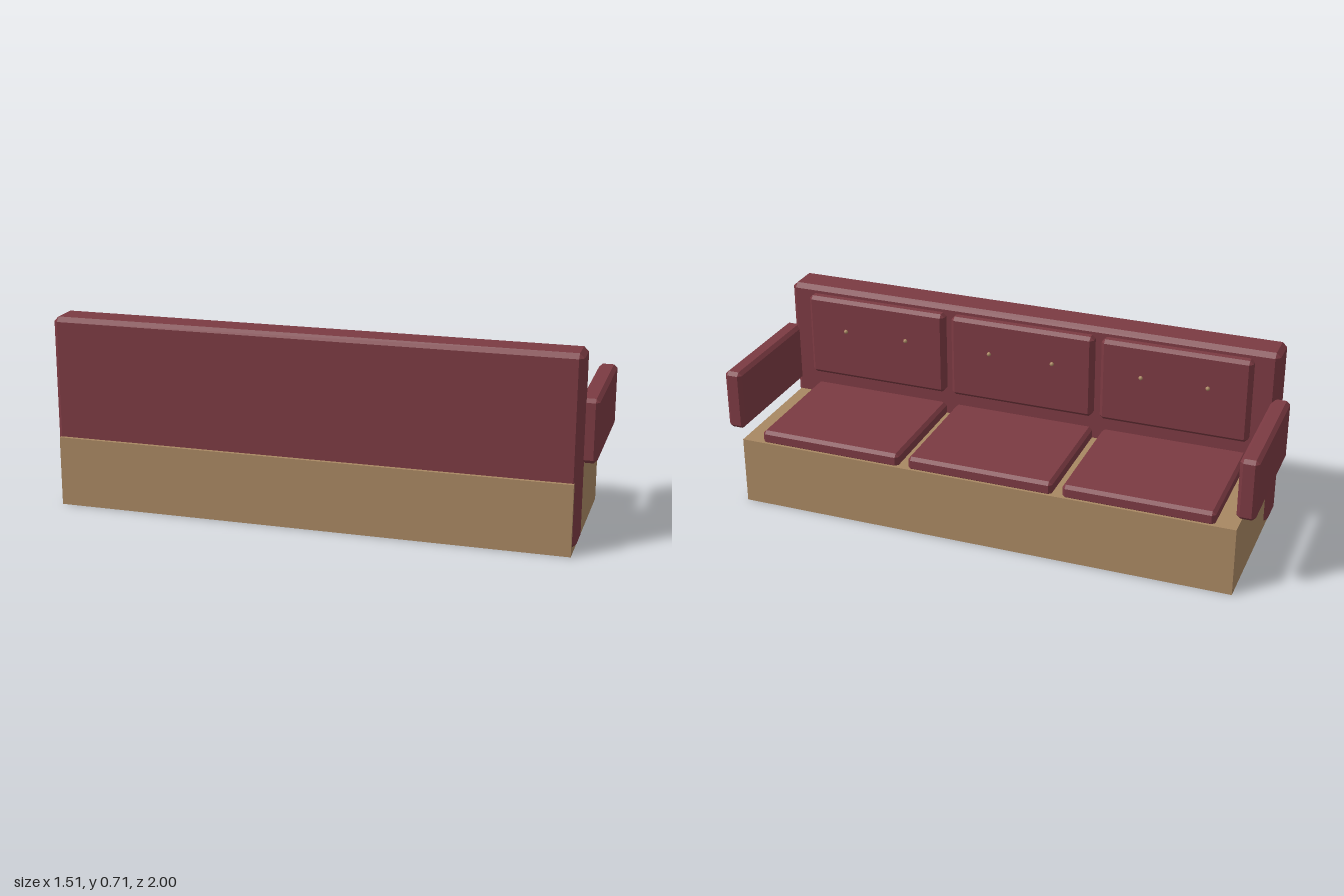
import * as THREE from 'three';
import { ConvexGeometry } from 'three/addons/geometries/ConvexGeometry.js';

// Box from min to max corners with every edge chamfered by c
function chamferBox(min, max, c) {
  const half = max.map((v, i) => (v - min[i]) / 2);
  const points = [];
  for (const sx of [-1, 1]) for (const sy of [-1, 1]) for (const sz of [-1, 1]) {
    for (let axis = 0; axis < 3; axis++) {
      const p = half.map((h, i) => (i === axis ? h : h - c));
      points.push(new THREE.Vector3(p[0] * sx, p[1] * sy, p[2] * sz));
    }
  }
  const geometry = new ConvexGeometry(points);
  geometry.translate(...min.map((v, i) => v + half[i]));
  return geometry;
}

export function createModel() {
  const upholstery = new THREE.MeshStandardMaterial({ color: 0x7b3a42 });
  upholstery.name = 'maroon upholstery';
  const wood = new THREE.MeshStandardMaterial({ color: 0xa88762 });
  wood.name = 'tan wood';

  const model = new THREE.Group();
  model.name = 'sofa';

  // The sofa is built along local x, facing local +z, then turned
  const body = new THREE.Group();
  body.name = 'sofaBody';
  body.rotation.y = THREE.MathUtils.degToRad(120);
  model.add(body);

  const centre = -0.015;
  const add = (name, geometry, material) => {
    const mesh = new THREE.Mesh(geometry, material);
    mesh.name = name;
    body.add(mesh);
    return mesh;
  };
  const padded = (name, x0, x1, y0, y1, z0, z1, c) =>
    add(name, chamferBox([centre + x0, y0, z0], [centre + x1, y1, z1], c), upholstery);

  // Solid base block
  const base = add('base', new THREE.BoxGeometry(1.895, 0.26, 0.626), wood);
  base.position.set(centre, 0.13, -0.021);

  // Backrest slab, a little longer than the base
  padded('backrest', -0.961, 0.961, 0.022, 0.71, -0.32, -0.186, 0.017);

  // Armrests fixed to the backrest ends
  padded('leftArm', 0.94, 1.007, 0.3, 0.53, -0.216, 0.29, 0.013);
  padded('rightArm', -1.007, -0.94, 0.3, 0.53, -0.216, 0.29, 0.013);

  // Three seat cushions and three buttoned back cushions
  const buttonShape = new THREE.SphereGeometry(0.008, 12, 8);
  for (let i = -1; i <= 1; i++) {
    const s = i * 0.592;
    padded('seatCushion', s - 0.277, s + 0.277, 0.25, 0.305, -0.195, 0.283, 0.012);
    padded('backCushion', s - 0.281, s + 0.281, 0.36, 0.682, -0.2, -0.15, 0.013);
    for (const side of [-1, 1]) {
      const button = add('button', buttonShape, wood);
      button.position.set(centre + s + side * 0.125, 0.556, -0.148);
    }
  }
  return model;
}
